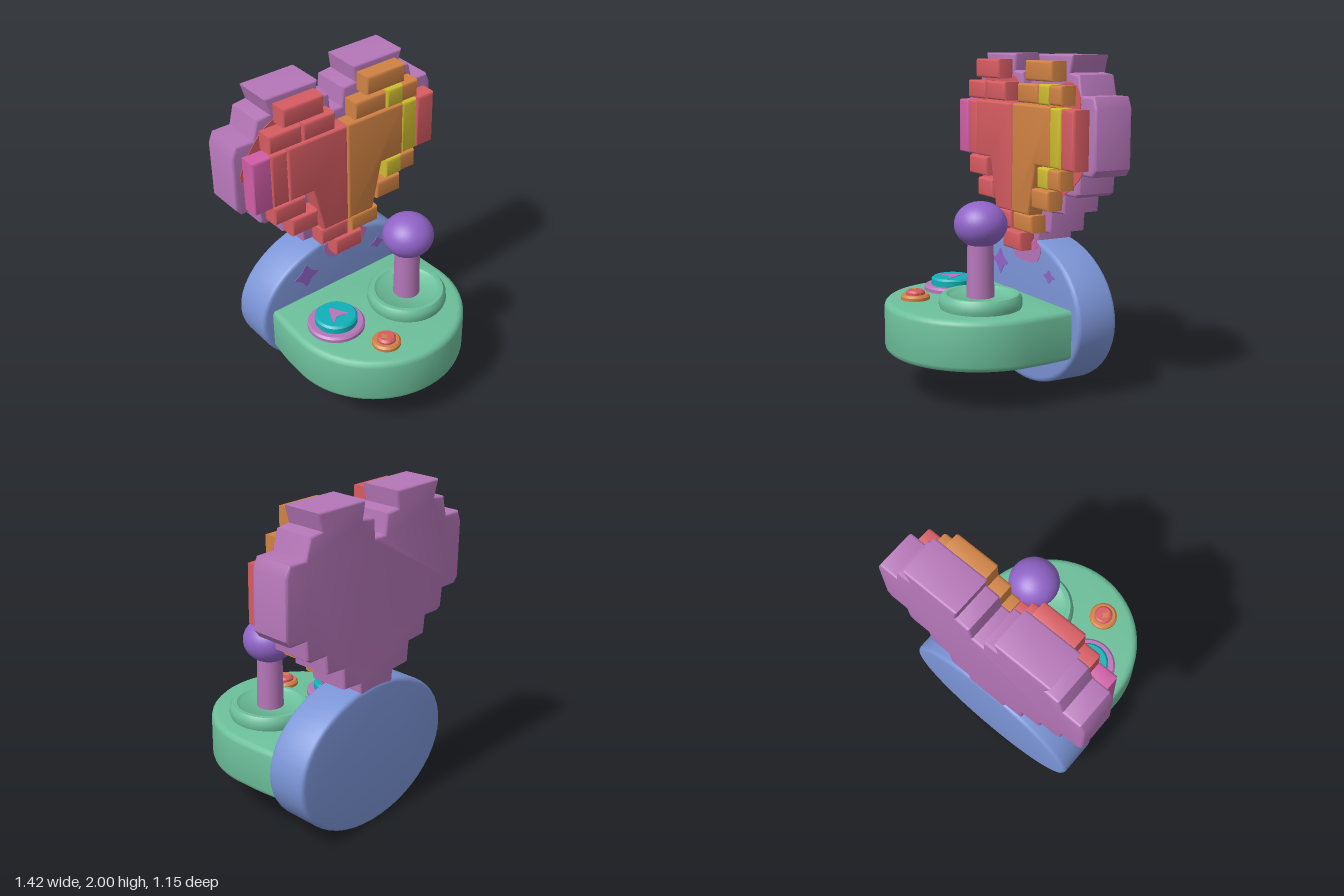
import * as THREE from 'three';
import { toCreasedNormals } from 'three/addons/utils/BufferGeometryUtils.js';

const paint = (name, hex) => {
  const m = new THREE.MeshStandardMaterial({ color: hex });
  m.name = name;
  return m;
};

export function createModel() {
  const model = new THREE.Group();
  model.name = 'heartJoystick';
  const mauve = paint('mauve', 0xb576b8), blue = paint('blue', 0x7b94d6), green = paint('green', 0x6cbf9b);
  const red = paint('red', 0xd65c62), orange = paint('orange', 0xd08243), yellow = paint('yellow', 0xcebc30);
  const teal = paint('teal', 0x10b0b8), violet = paint('violet', 0x9164c8), pink = paint('pink', 0xd05ea6);

  const add = (name, geometry, material, parent = model) => {
    const mesh = new THREE.Mesh(geometry, material);
    mesh.name = name;
    parent.add(mesh);
    return mesh;
  };
  const group = (name) => {
    const g = new THREE.Group();
    g.name = name;
    model.add(g);
    return g;
  };
  const outline = (points) => new THREE.Shape(points.map(([x, y]) => new THREE.Vector2(x, y)));

  // Extruded slab between z0 and z1 whose rounded edges stay inside the outline
  const slab = (points, z0, z1, bevel, crease = 0.6) => {
    const geo = new THREE.ExtrudeGeometry(outline(points), {
      depth: z1 - z0 - 2 * bevel, bevelEnabled: true, bevelThickness: bevel,
      bevelSize: bevel, bevelOffset: -bevel, bevelSegments: 3,
    });
    geo.translate(0, 0, z0 + bevel);
    return toCreasedNormals(geo, crease);
  };
  // Thin painted patch with a soft outline
  const patch = (name, points, z, material, parent) => {
    const curve = new THREE.CatmullRomCurve3(points.map(([x, y]) => new THREE.Vector3(x, y, 0)), true);
    const soft = curve.getPoints(points.length * 4).slice(0, -1).map((p) => [p.x, p.y]);
    const geo = new THREE.ExtrudeGeometry(outline(soft), { depth: 0.005, bevelEnabled: false });
    return add(name, geo.translate(0, 0, z), material, parent);
  };
  const lathe = (name, profile, material, x, z, parent) => {
    const geo = new THREE.LatheGeometry(profile.map(([r, y]) => new THREE.Vector2(r, y)), 40);
    const mesh = add(name, toCreasedNormals(geo, 0.7), material, parent);
    mesh.position.set(x, 0, z);
    return mesh;
  };
  const flip = (points) => points.map(([x, y]) => [-x, y]);

  // Stepped heart backing
  const half = [
    [0, 1.775], [0.04, 1.775], [0.05, 1.89], [0.14, 1.9], [0.125, 2], [0.485, 2], [0.455, 1.9],
    [0.54, 1.89], [0.57, 1.775], [0.685, 1.775], [0.712, 1.71], [0.712, 1.37], [0.68, 1.33],
    [0.57, 1.33], [0.56, 1.22], [0.53, 1.2], [0.42, 1.2], [0.41, 1.09], [0.28, 1.08],
    [0.27, 0.955], [0.14, 0.945], [0.13, 0.8],
  ];
  const heart = half.concat(flip(half.slice(1)).reverse());
  add('heartBacking', slab(heart, -0.568, -0.32, 0.015), mauve);

  // Bricks on the face of the heart
  const bricks = group('heartBricks');
  const back = -0.33, face = -0.215;
  const brick = (name, material, x0, x1, y0, y1, grow = 0) => {
    const pts = [[x0 - grow, y0 - grow], [x1 + grow, y0 - grow], [x1 + grow, y1 + grow], [x0 - grow, y1 + grow]];
    add(name, slab(pts, back, face + grow, 0.018, 1), material, bricks);
  };
  [
    [-0.435, -0.16, 1.85, 1.965], [-0.535, -0.315, 1.72, 1.83], [-0.305, -0.085, 1.72, 1.83],
    [-0.53, -0.42, 1.365, 1.705], [-0.525, -0.305, 1.24, 1.355], [-0.41, -0.225, 1.11, 1.225],
    [-0.205, -0.005, 0.955, 1.06], [-0.1, 0.1, 0.83, 0.94], [0.525, 0.655, 1.365, 1.705],
  ].forEach((b) => brick('redBrick', red, ...b));
  [
    [0.145, 0.425, 1.85, 1.965], [0.06, 0.285, 1.72, 1.83], [0.295, 0.525, 1.72, 1.83],
    [0.29, 0.515, 1.24, 1.355], [0.22, 0.4, 1.11, 1.225], [0.02, 0.225, 0.955, 1.06],
  ].forEach((b) => brick('orangeBrick', orange, ...b));
  brick('pinkBrick', pink, -0.655, -0.53, 1.365, 1.705);
  brick('yellowBrick', yellow, 0.41, 0.522, 1.365, 1.705);
  brick('yellowBrickHalf', yellow, 0.295, 0.41, 1.72, 1.83, 0.003);
  brick('yellowBrickHalf', yellow, 0.29, 0.405, 1.24, 1.355, 0.003);
  const centre = [[0.002, 1.71], [0.415, 1.71], [0.415, 1.365], [0.255, 1.365], [0.185, 1.06], [0.002, 1.06]];
  add('orangeCentreBrick', slab(centre, back, face, 0.015), orange, bricks);
  add('redCentreBrick', slab(flip(centre), back, face, 0.015), red, bricks);

  // Painted patches showing between the bricks
  patch('redTint', [[-0.67, 1.55], [-0.6, 1.72], [-0.45, 1.86], [-0.12, 1.86], [-0.06, 1.72], [-0.2, 1.5]], -0.321, red, bricks);
  patch('redTint', [[0.25, 1.72], [0.4, 1.84], [0.53, 1.83], [0.57, 1.7], [0.4, 1.6]], -0.321, red, bricks);
  patch('redTint', [[0.3, 1.4], [0.5, 1.42], [0.6, 1.36], [0.48, 1.24], [0.25, 1.15]], -0.321, red, bricks);

  // Oval rear disc
  const oval = Array.from({ length: 48 }, (_, i) => {
    const a = (i / 48) * Math.PI * 2;
    return [0.607 * Math.cos(a), 0.4525 + 0.4525 * Math.sin(a)];
  });
  add('rearDisc', slab(oval, -0.572, -0.305, 0.025), blue);
  const marks = group('discMarks');
  const blob = (cx, cy, rx, ry) => Array.from({ length: 8 }, (_, i) => {
    const r = i % 2 ? 0.6 : 1, a = (i / 8) * Math.PI * 2;
    return [cx + rx * r * Math.cos(a), cy + ry * r * Math.sin(a)];
  });
  patch('violetMark', blob(-0.27, 0.7, 0.085, 0.08), -0.307, violet, marks);
  patch('violetMark', blob(0.29, 0.7, 0.06, 0.04), -0.307, violet, marks);
  patch('mauveMark', [[-0.13, 0.87], [-0.1, 0.77], [0.03, 0.75], [0.16, 0.77], [0.2, 0.86], [0.1, 0.88]], -0.307, mauve, marks);
  patch('pinkMark', blob(0.14, 0.87, 0.04, 0.04), -0.306, pink, marks);

  // Round-fronted console, drawn with shape y as -z
  const plan = [[0.53, 0.32], [0.55, 0.15]];
  for (let i = 0; i <= 32; i++) {
    const a = (i / 32) * Math.PI;
    plan.push([0.557 * Math.cos(a), -0.02 - 0.555 * Math.sin(a)]);
  }
  plan.push([-0.55, 0.15], [-0.53, 0.32]);
  add('console', slab(plan, 0.25, 0.55, 0.035).rotateX(-Math.PI / 2), green);

  // Joystick
  const stick = group('joystick');
  lathe('stickCollar', [[0.235, 0.54], [0.245, 0.57], [0.242, 0.61], [0.225, 0.632], [0.2, 0.632], [0.18, 0.615], [0, 0.61]], green, 0.195, 0.105, stick);
  const shaft = add('shaft', new THREE.CylinderGeometry(0.075, 0.082, 0.37, 28), mauve, stick);
  shaft.position.set(0.192, 0.785, 0.105);
  const knob = add('knob', new THREE.SphereGeometry(0.155, 32, 20), violet, stick);
  knob.scale.y = 0.86;
  knob.position.set(0.195, 1.037, 0.105);

  // Buttons: rounded discs given by radius, base and top
  const puck = (name, material, x, z, r, y0, y1, parent) =>
    lathe(name, [[r, y0], [r, y1 - 0.012], [r - 0.012, y1], [0, y1]], material, x, z, parent);
  const big = group('largeButton');
  puck('buttonRing', mauve, -0.297, 0.03, 0.174, 0.54, 0.582, big);
  puck('buttonCap', teal, -0.297, 0.03, 0.129, 0.57, 0.63, big);
  const arrow = patch('arrowMark', [[0, 0.065], [0.03, 0.01], [0.062, -0.05], [0.02, -0.03], [-0.02, -0.03], [-0.06, -0.06], [-0.035, 0.01]], 0, mauve, big);
  arrow.rotation.x = -Math.PI / 2;
  arrow.position.set(-0.297, 0.628, 0.03);
  const small = group('smallButton');
  puck('buttonRing', orange, -0.168, 0.35, 0.087, 0.54, 0.58, small);
  puck('buttonCap', red, -0.168, 0.35, 0.057, 0.57, 0.605, small);
  const dot = patch('orangeMark', blob(-0.015, 0, 0.022, 0.03), 0, orange, small);
  dot.rotation.x = -Math.PI / 2;
  dot.position.set(-0.168, 0.603, 0.35);

  return model;
}
